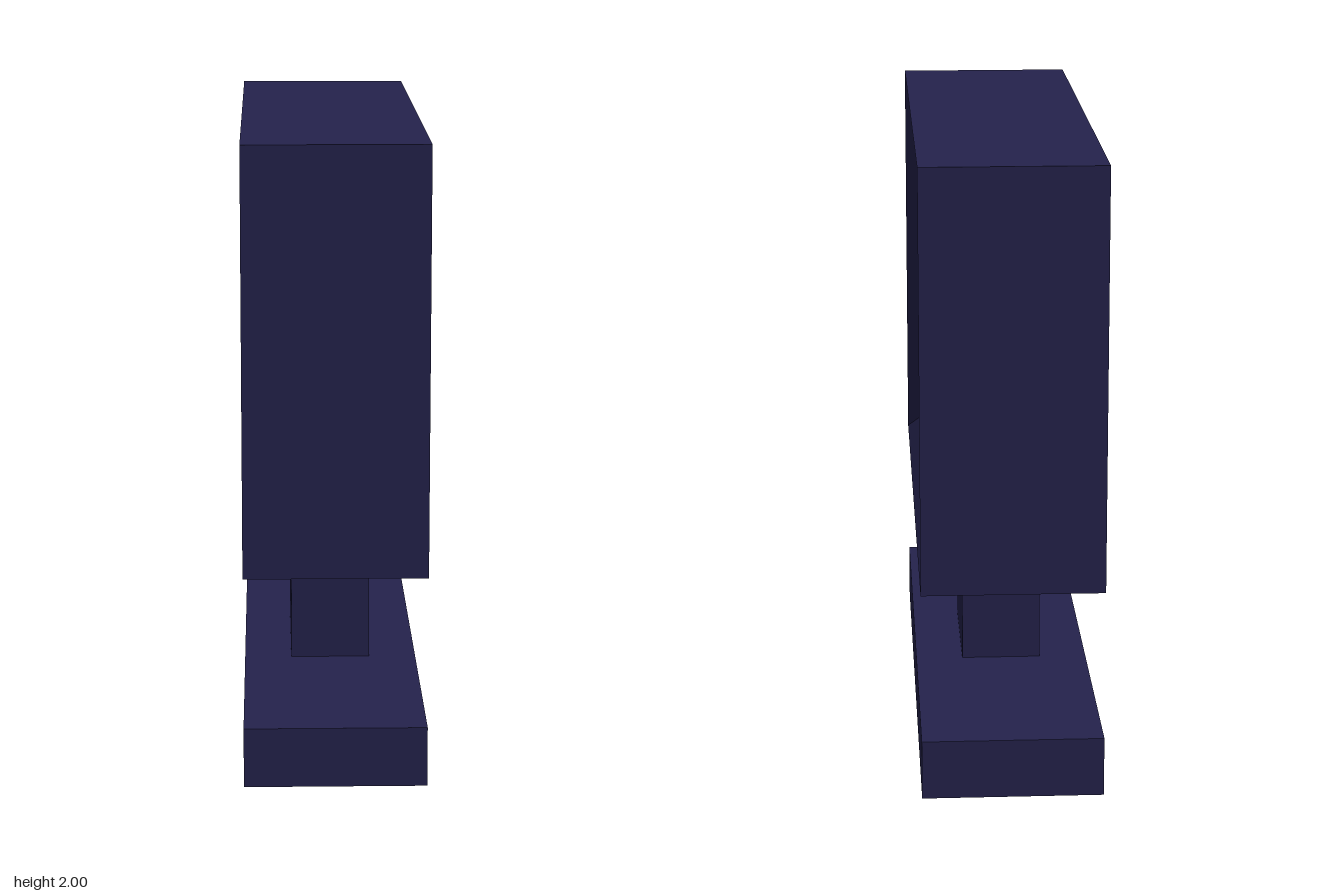
import * as THREE from 'three';

const frameMaterial = new THREE.MeshStandardMaterial({ color: 0x25234d });
frameMaterial.name = 'dark navy';
const screenMaterial = new THREE.MeshStandardMaterial({ color: 0x4843b4 });
screenMaterial.name = 'screen violet';

const HALF_DEPTH = 0.285, HALF_WIDTH = 0.95; // along x and z
const BOTTOM = 0.67, TOP = 2, BEZEL = 0.1;

// rectangle of corners at a given x, counter-clockwise seen from +x
function ring(x, inset) {
  const z = HALF_WIDTH - inset, lo = BOTTOM + inset, hi = TOP - inset;
  return [[x, lo, z], [x, lo, -z], [x, hi, -z], [x, hi, z]];
}

// casing: closed back, straight sides, bezel sloping in to the recessed screen
function casingGeometry() {
  const rings = [ring(-HALF_DEPTH, 0), ring(HALF_DEPTH, 0), ring(HALF_DEPTH - BEZEL, BEZEL)];
  const positions = [];
  const quad = (a, b, c, d) => positions.push(...a, ...b, ...c, ...a, ...c, ...d);
  quad(...[...rings[0]].reverse());
  for (let r = 0; r < 2; r++) {
    for (let i = 0; i < 4; i++) {
      const j = (i + 1) % 4;
      quad(rings[r][i], rings[r][j], rings[r + 1][j], rings[r + 1][i]);
    }
  }
  const geometry = new THREE.BufferGeometry();
  geometry.setAttribute('position', new THREE.Float32BufferAttribute(positions, 3));
  geometry.computeVertexNormals();
  return geometry;
}

export function createModel() {
  const model = new THREE.Group();
  model.name = 'monitor';
  const add = (name, geometry, material) => {
    const mesh = new THREE.Mesh(geometry, material);
    mesh.name = name;
    model.add(mesh);
    return mesh;
  };

  // stand
  add('base', new THREE.BoxGeometry(HALF_DEPTH * 2, 0.19, HALF_WIDTH * 2), frameMaterial).position.y = 0.095;
  add('stem', new THREE.BoxGeometry(0.26, 0.48, 0.45), frameMaterial).position.y = 0.43;

  // display, facing +x
  add('casing', casingGeometry(), frameMaterial);
  const screen = add('screen',
    new THREE.PlaneGeometry((HALF_WIDTH - BEZEL) * 2, TOP - BOTTOM - BEZEL * 2), screenMaterial);
  screen.rotation.y = Math.PI / 2;
  screen.position.set(HALF_DEPTH - BEZEL, (TOP + BOTTOM) / 2, 0);

  return model;
}
